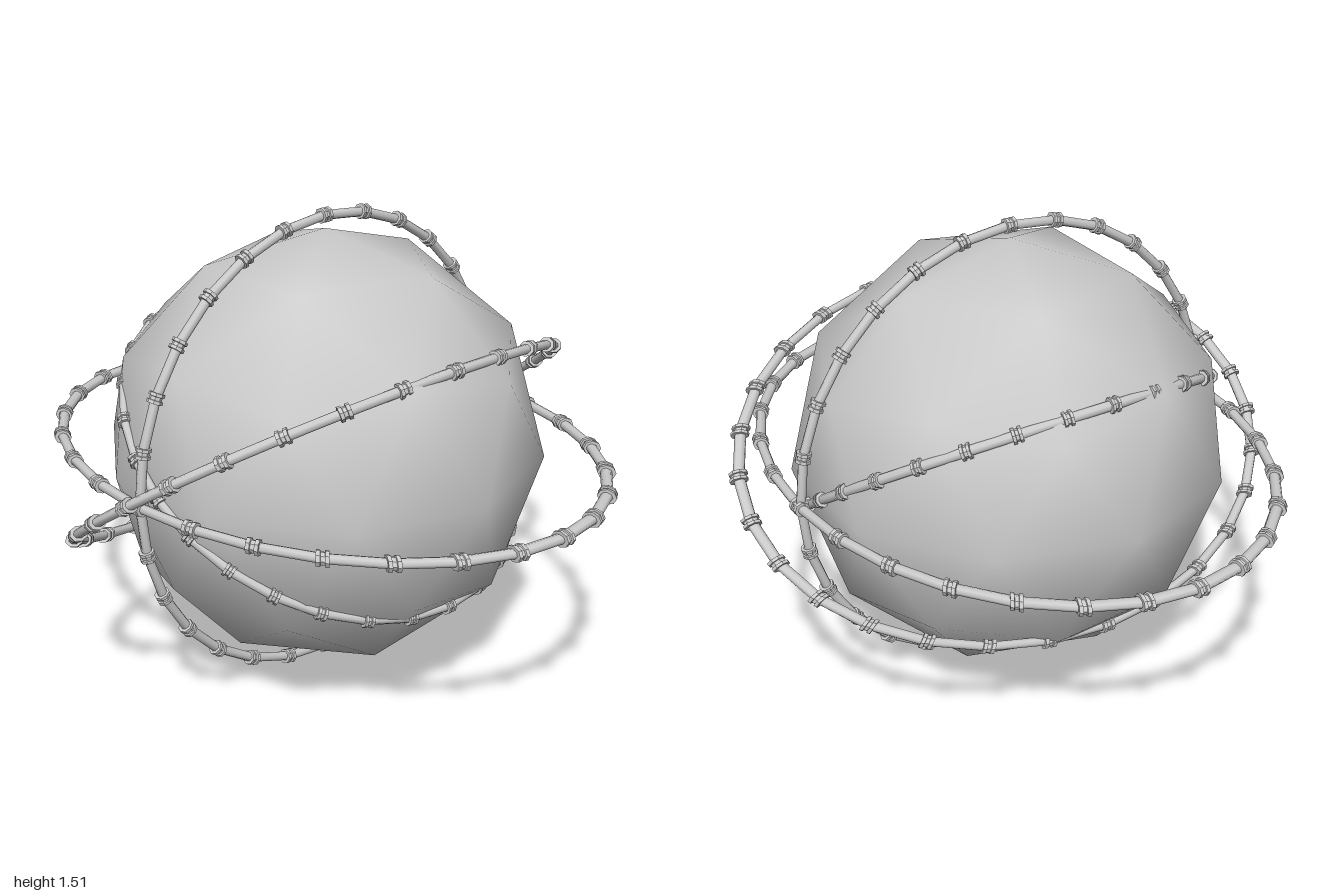
import * as THREE from 'three';
import { mergeGeometries } from 'three/addons/utils/BufferGeometryUtils.js';

const CENTER_Y = 0.76;
const RING_R = 0.73;
const SEGMENTS = 28;

// Collars: a short eight-sided sleeve with a rim at each end, one per ring joint
function collarGeometry() {
  const profile = [
    [0.014, -0.016], [0.024, -0.016], [0.024, -0.006], [0.019, -0.005],
    [0.019, 0.005], [0.024, 0.006], [0.024, 0.016], [0.014, 0.016],
  ].map(([r, y]) => new THREE.Vector2(r, y));
  const collar = new THREE.LatheGeometry(profile, 8);
  const all = [];
  for (let i = 0; i < SEGMENTS; i++) {
    all.push(collar.clone().translate(RING_R, 0, 0).rotateZ((i / SEGMENTS) * Math.PI * 2));
  }
  return mergeGeometries(all);
}

export function createModel() {
  const model = new THREE.Group();
  const smooth = new THREE.MeshStandardMaterial({ color: 0xcccccc });
  const faceted = new THREE.MeshStandardMaterial({ color: 0xcccccc, flatShading: true });

  // Core: coarse icosphere standing on one of its corners
  const core = new THREE.Mesh(new THREE.IcosahedronGeometry(0.69, 1), smooth);
  core.name = 'core';
  core.rotation.z = -Math.atan(2 / (1 + Math.sqrt(5)));
  core.position.y = CENTER_Y;
  model.add(core);

  // Rings: one jointed hoop, stretched and tilted about the x axis
  const tubeGeo = new THREE.TorusGeometry(RING_R, 0.015, 8, SEGMENTS);
  const collarGeo = collarGeometry();
  const tilt = THREE.MathUtils.degToRad(55.3);
  const rings = [
    ['uprightRing', 0.73, 0.73, 0],
    ['levelRing', 0.735, 0.967, Math.PI / 2],
    ['wideTiltedRing', 0.89, 0.664, tilt],
    ['innerTiltedRing', 0.664, 0.664, -tilt],
  ];
  for (const [name, rx, ry, angle] of rings) {
    const ring = new THREE.Group();
    ring.name = name;
    const tube = new THREE.Mesh(tubeGeo, smooth);
    tube.name = 'hoop';
    const collars = new THREE.Mesh(collarGeo, faceted);
    collars.name = 'collars';
    ring.add(tube, collars);
    ring.scale.set(rx / RING_R, ry / RING_R, 1);
    ring.rotation.x = angle;
    ring.position.y = CENTER_Y;
    model.add(ring);
  }
  return model;
}
